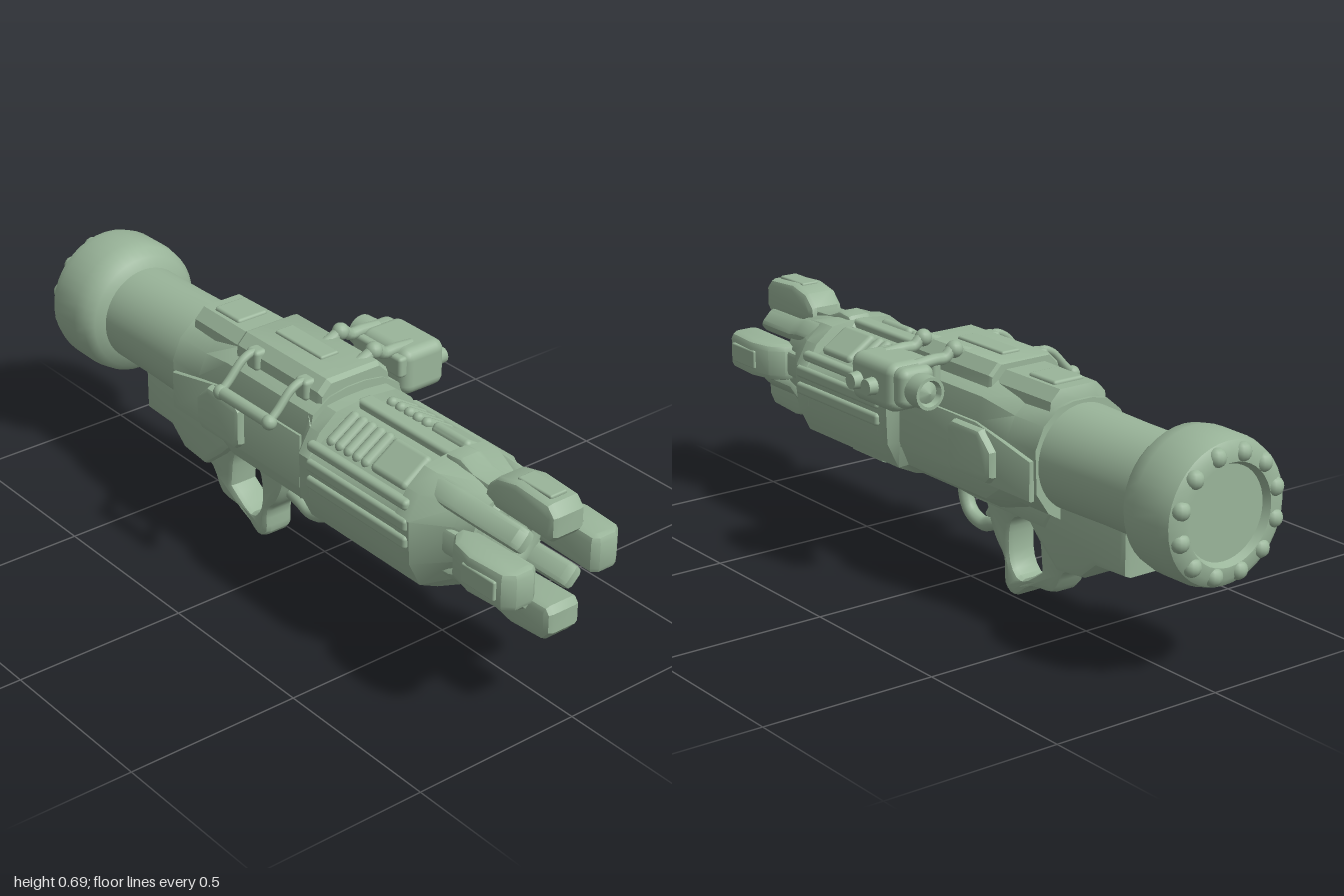
import * as THREE from 'three';
import { toCreasedNormals } from 'three/addons/utils/BufferGeometryUtils.js';
import { RoundedBoxGeometry } from 'three/addons/geometries/RoundedBoxGeometry.js';

const CY = 0.455, CZ = 0.045; // barrel axis
const paint = new THREE.MeshStandardMaterial({ color: 0x9ab59a });
paint.name = 'sageGreen';

function add(parent, name, geo, x = 0, y = 0, z = 0) {
  const m = new THREE.Mesh(geo, paint);
  m.name = name;
  m.position.set(x, y, z);
  parent.add(m);
  return m;
}

// Loft along x; each station is [x, half profile of [halfWidth, y] from bottom to top]
function loft(stations, crease = 0.5) {
  const pos = [], idx = [], n = stations[0][1].length * 2;
  for (const [x, half] of stations) {
    for (const [w, y] of half) pos.push(x, y, CZ + w);
    for (const [w, y] of [...half].reverse()) pos.push(x, y, CZ - w);
  }
  for (let s = 0; s < stations.length - 1; s++)
    for (let i = 0; i < n; i++) {
      const a = s * n + i, b = s * n + (i + 1) % n;
      idx.push(a, a + n, b + n, a, b + n, b);
    }
  const e = (stations.length - 1) * n;
  for (let i = 1; i < n - 1; i++) idx.push(0, i, i + 1, e, e + i + 1, e + i);
  const g = new THREE.BufferGeometry();
  g.setAttribute('position', new THREE.Float32BufferAttribute(pos, 3));
  g.setIndex(idx);
  return toCreasedNormals(g, crease);
}

// Side profile extruded between z0 and z1 with bevelled edges
function slab(pts, z0, z1, bevel, hole, smooth = false) {
  const v = (p) => p.map(([x, y]) => new THREE.Vector2(x, y));
  const path = (p) => smooth
    ? new THREE.SplineCurve(v([...p, p[0]])).getPoints(p.length * 3).slice(0, -1) : v(p);
  const s = new THREE.Shape(path(pts));
  if (hole) s.holes.push(new THREE.Path(path(hole)));
  const g = new THREE.ExtrudeGeometry(s, {
    depth: z1 - z0 - 2 * bevel, bevelSize: bevel, bevelThickness: bevel, bevelOffset: -bevel, bevelSegments: 2,
  });
  g.translate(0, 0, z0 + bevel);
  return toCreasedNormals(g, 0.6);
}

function turned(pts, seg = 40) {
  const g = new THREE.LatheGeometry(pts.map(([x, r]) => new THREE.Vector2(r, x)), seg);
  return toCreasedNormals(g.rotateZ(-Math.PI / 2), 0.6);
}

function tube(pts, r, seg = 20) {
  return new THREE.TubeGeometry(new THREE.CatmullRomCurve3(pts.map((p) => new THREE.Vector3(...p))), seg, r, 10);
}

export function createModel() {
  const root = new THREE.Group();
  root.name = 'cannon';

  // Rear drum with a ring of bolts, and the rear barrel
  add(root, 'rearDrum', turned([[-0.965, 0], [-0.965, 0.125], [-0.985, 0.135], [-0.985, 0.165], [-0.97, 0.187],
    [-0.94, 0.196], [-0.85, 0.197], [-0.81, 0.19], [-0.785, 0.17], [-0.77, 0.13]]), 0, CY, CZ);
  for (let i = 0; i < 12; i++) {
    const a = (i + 0.5) / 12 * Math.PI * 2;
    const b = add(root, 'drumBolt', new THREE.SphereGeometry(0.026, 12, 8),
      -0.974, CY + 0.158 * Math.sin(a), CZ + 0.158 * Math.cos(a));
    b.scale.x = 0.99;
  }
  add(root, 'rearBarrel', turned([[-0.8, 0.14], [-0.6, 0.141], [-0.4, 0.146]]), 0, CY, CZ);

  // Receiver, widening towards the front
  const rear = [[0.06, 0.29], [0.11, 0.32], [0.15, 0.38], [0.155, 0.5], [0.128, 0.56], [0.08, 0.6], [0.03, 0.61]];
  const mid = [[0.08, 0.265], [0.13, 0.3], [0.16, 0.37], [0.16, 0.52], [0.145, 0.585], [0.09, 0.62], [0.03, 0.63]];
  add(root, 'receiver', loft([[-0.42, rear], [-0.3, rear], [-0.18, mid], [0.19, mid]]));
  const rail = (y, w) => [[w + 0.035, 0.57], [w + 0.03, y - 0.03], [w, y], [0.02, y]];
  add(root, 'rearTopRail', loft([[-0.41, rail(0.62, 0.05)], [-0.4, rail(0.643, 0.06)], [-0.17, rail(0.645, 0.065)]]));
  add(root, 'topRail', loft([[-0.18, rail(0.66, 0.08)], [-0.17, rail(0.664, 0.085)], [0.17, rail(0.664, 0.085)], [0.185, rail(0.655, 0.08)]]));
  add(root, 'railStep', new RoundedBoxGeometry(0.11, 0.02, 0.1, 2, 0.008), -0.31, 0.643, CZ);
  add(root, 'railInset', new RoundedBoxGeometry(0.2, 0.016, 0.06, 2, 0.006), -0.02, 0.664, CZ);

  // Cheek boxes and panels on both sides
  for (const s of [1, -1]) {
    add(root, 'cheekBox', slab([[-0.27, 0.39], [-0.25, 0.37], [-0.1, 0.37], [-0.08, 0.39], [-0.08, 0.49], [-0.1, 0.51], [-0.22, 0.51], [-0.27, 0.46]],
      CZ + s * 0.165 - 0.025, CZ + s * 0.165 + 0.025, 0.015));
    add(root, 'cheekPanel', slab([[-0.41, 0.36], [0.16, 0.36], [0.16, 0.52], [-0.18, 0.52], [-0.41, 0.47]],
      CZ + s * 0.157 - 0.01, CZ + s * 0.157 + 0.01, 0.006));
  }

  // Front housing with sunken roof bays
  const full = [[0.09, 0.262], [0.15, 0.29], [0.187, 0.365], [0.192, 0.49], [0.155, 0.555], [0.1, 0.598], [0.03, 0.605]];
  const bay = [[0.09, 0.262], [0.15, 0.29], [0.187, 0.365], [0.19, 0.49], [0.15, 0.53], [0.09, 0.57], [0.03, 0.585]];
  const neck = [[0.06, 0.31], [0.105, 0.345], [0.13, 0.4], [0.13, 0.5], [0.105, 0.55], [0.07, 0.58], [0.03, 0.59]];
  const tip = neck.map(([w, y]) => [w * 0.92, CY + (y - CY) * 0.9]);
  add(root, 'frontHousing', loft([[0.17, mid], [0.19, full], [0.23, full], [0.235, bay], [0.575, bay], [0.58, full], [0.63, full], [0.73, neck], [0.785, tip]]));
  add(root, 'roofRidge', new RoundedBoxGeometry(0.37, 0.035, 0.05, 2, 0.01), 0.405, 0.59, CZ);
  for (const s of [1, -1]) {
    // Ribs and a smooth canister lying in each bay
    for (let i = 0; i < 5; i++) {
      const r = add(root, 'bayRib', new THREE.CapsuleGeometry(0.016, 0.085, 4, 10), 0.26 + i * 0.035, 0.56, CZ + s * 0.1);
      r.rotation.x = s * 2.13;
    }
    const can = add(root, 'bayCanister', new RoundedBoxGeometry(0.14, 0.035, 0.11, 3, 0.015), 0.495, 0.56, CZ + s * 0.1);
    can.rotation.x = s * 0.58;
    add(root, 'baySill', new RoundedBoxGeometry(0.4, 0.03, 0.03, 2, 0.012), 0.41, 0.52, CZ + s * 0.172);
    // Long side bars
    for (const y of [0.475, 0.425])
      add(root, 'sideBar', new RoundedBoxGeometry(0.4, 0.036, 0.022, 2, 0.01), 0.425, y, CZ + s * 0.189);
  }
  add(root, 'bellyPlate', slab([[0.36, 0.3], [0.37, 0.24], [0.52, 0.24], [0.54, 0.265], [0.58, 0.27], [0.58, 0.3]], -0.035, 0.125, 0.012));

  // Muzzle with an open bore
  add(root, 'muzzle', turned([[0.7, 0.13], [0.77, 0.125], [0.8, 0.105], [0.805, 0.08], [0.8, 0.068],
    [0.74, 0.066], [0.71, 0.055], [0.695, 0.03], [0.69, 0]]), 0, CY, CZ);
  for (let i = 0; i < 4; i++) {
    const g = new THREE.Group();
    g.name = 'prongUnit';
    g.position.set(0, CY, CZ);
    g.rotation.x = i * Math.PI / 2;
    root.add(g);
    add(g, 'prong', slab([[0.75, 0.12], [0.79, 0.098], [0.985, 0.092], [1, 0.11], [1, 0.165], [0.975, 0.193], [0.86, 0.201], [0.79, 0.185], [0.755, 0.15]],
      -0.054, 0.054, 0.018));
    add(g, 'prongPad', new RoundedBoxGeometry(0.12, 0.012, 0.055, 2, 0.005), 0.9, 0.197, 0);
    add(g, 'prongArm', slab([[0.57, 0.13], [0.59, 0.16], [0.64, 0.165], [0.69, 0.145], [0.8, 0.14], [0.8, 0.09], [0.6, 0.09]], -0.038, 0.038, 0.012));
    // Slim fingers between the prongs
    const f = new THREE.Group();
    f.name = 'fingerUnit';
    f.rotation.x = Math.PI / 4;
    g.add(f);
    add(f, 'finger', slab([[0.62, 0.1], [0.64, 0.17], [0.72, 0.165], [0.78, 0.145], [0.92, 0.145], [0.94, 0.13], [0.94, 0.105], [0.92, 0.095]],
      -0.032, 0.032, 0.014));
  }

  // Lower stock, grip loop and trigger guard
  add(root, 'lowerStock', slab([[-0.68, 0.36], [-0.68, 0.21], [-0.56, 0.205], [-0.5, 0.155], [-0.4, 0.145], [-0.32, 0.21], [-0.28, 0.25], [-0.28, 0.36]],
    -0.026, 0.12, 0.02));
  add(root, 'gripLoop', slab([[-0.48, 0.17], [-0.4, 0.13], [-0.355, 0.065], [-0.26, 0.05], [-0.19, 0.005], [-0.145, 0.03], [-0.14, 0.1], [-0.1, 0.15], [-0.07, 0.22], [-0.07, 0.3], [-0.4, 0.3]],
    0, 0.095, 0.018, [[-0.305, 0.11], [-0.22, 0.06], [-0.175, 0.1], [-0.17, 0.18], [-0.19, 0.225], [-0.25, 0.235], [-0.29, 0.21]], true));
  add(root, 'triggerGuard', tube([[-0.11, 0.18, CZ], [-0.05, 0.165, CZ], [0.0, 0.15, CZ], [0.055, 0.168, CZ], [0.08, 0.21, CZ], [0.085, 0.29, CZ]], 0.021, 24));
  add(root, 'trigger', tube([[-0.05, 0.29, CZ], [-0.055, 0.23, CZ], [-0.03, 0.185, CZ]], 0.014));
  add(root, 'underKeel', slab([[-0.4, 0.32], [-0.36, 0.25], [-0.06, 0.25], [0.1, 0.262], [0.18, 0.28], [0.18, 0.32]], -0.03, 0.12, 0.015));

  // Carry handle on the left side
  for (const x of [-0.095, 0.115]) {
    add(root, 'handlePost', tube([[x, 0.6, 0.13], [x, 0.645, 0.165], [x, 0.635, 0.2], [x, 0.585, 0.25], [x, 0.562, 0.277]], 0.012));
    add(root, 'handleJoint', new THREE.SphereGeometry(0.021, 14, 10), x, 0.562, 0.275);
    add(root, 'handleMount', new RoundedBoxGeometry(0.05, 0.06, 0.04, 2, 0.012), x, 0.625, 0.155);
  }
  const bar = add(root, 'handleBar', new THREE.CapsuleGeometry(0.018, 0.19, 6, 14), 0.01, 0.562, 0.274);
  bar.rotation.z = Math.PI / 2;

  // Sight on the right side, held by two curved arms
  for (const x of [-0.01, 0.13]) {
    add(root, 'sightArm', tube([[x, 0.645, 0.0], [x, 0.66, -0.04], [x, 0.671, -0.065], [x, 0.65, -0.095], [x, 0.65, -0.13], [x, 0.645, -0.19]], 0.017));
    add(root, 'sightArmKnuckle', new THREE.SphereGeometry(0.024, 14, 10), x, 0.669, -0.062);
  }
  add(root, 'sightBody', new RoundedBoxGeometry(0.2, 0.135, 0.145, 3, 0.03), 0.085, 0.59, -0.197);
  add(root, 'sightCollar', new RoundedBoxGeometry(0.06, 0.11, 0.11, 3, 0.025), -0.02, 0.595, -0.205);
  add(root, 'sightEyepiece', turned([[-0.1, 0], [-0.085, 0.03], [-0.1, 0.036], [-0.1, 0.045], [-0.06, 0.047], [-0.02, 0.04]], 24), 0, 0.592, -0.207);
  add(root, 'sightFoot', new RoundedBoxGeometry(0.2, 0.06, 0.03, 2, 0.01), 0.08, 0.615, -0.125);
  for (const x of [0.07, 0.14]) {
    const k = add(root, 'sightKnob', new THREE.CylinderGeometry(0.022, 0.026, 0.04, 16), x, 0.585, -0.276);
    k.rotation.x = -Math.PI / 2;
  }
  return root;
}
